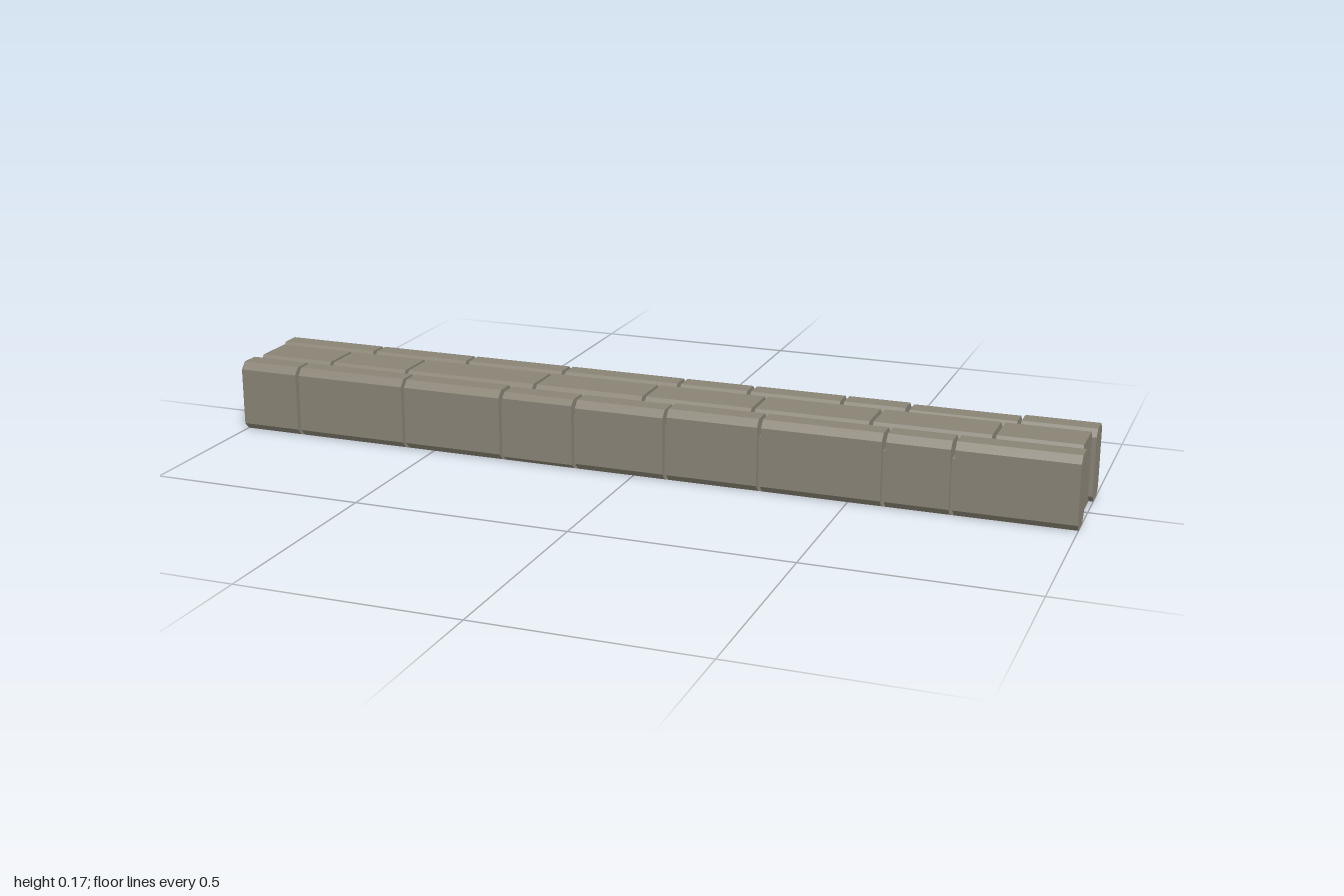
import * as THREE from 'three';

const stone = new THREE.MeshStandardMaterial({ color: 0x8a8476 });
stone.name = 'stone';

// Chamfered stone: an octagonal z/y section extruded along x
function block(name, x0, x1, z0, z1, y0, y1, cz, cy) {
  const s = new THREE.Shape();
  s.moveTo(-z0 - cz, y0);
  [[-z0, y0 + cy], [-z0, y1 - cy], [-z0 - cz, y1], [-z1 + cz, y1],
    [-z1, y1 - cy], [-z1, y0 + cy], [-z1 + cz, y0]].forEach(([a, b]) => s.lineTo(a, b));
  s.closePath();
  const geo = new THREE.ExtrudeGeometry(s, { depth: x1 - x0, bevelEnabled: false });
  geo.rotateY(Math.PI / 2);
  geo.translate(x0, 0, 0);
  const mesh = new THREE.Mesh(geo, stone);
  mesh.name = name;
  return mesh;
}

// Row of stones between joint positions, with a narrow gap at each joint
function row(name, joints, gap, make) {
  const group = new THREE.Group();
  group.name = name;
  const last = joints.length - 2;
  for (let i = 0; i <= last; i++) {
    const x0 = joints[i] + (i > 0 ? gap / 2 : 0);
    const x1 = joints[i + 1] - (i < last ? gap / 2 : 0);
    group.add(make(x0, x1, i));
  }
  return group;
}

export function createModel() {
  const model = new THREE.Group();
  model.name = 'stoneWall';

  // Solid core behind the joints, slightly recessed at the ends
  const core = new THREE.Mesh(new THREE.BoxGeometry(1.98, 0.127, 0.236), stone);
  core.name = 'core';
  core.position.y = 0.0635;
  model.add(core);

  // Facing stones; a few sit slightly lower with a smaller chamfer
  const front = [-1, -0.85, -0.57, -0.32, -0.14, 0.08, 0.3, 0.58, 0.73, 1];
  const back = [-1, -0.75, -0.5, -0.25, 0.04, 0.21, 0.43, 0.58, 0.83, 1];
  model.add(row('frontStones', front, 0.009, (a, b, i) =>
    block('frontStone', a, b, 0.059, 0.133, 0, i === 3 || i === 4 ? 0.164 : 0.167, 0.015, i === 3 ? 0.012 : 0.016)));
  model.add(row('backStones', back, 0.009, (a, b, i) =>
    block('backStone', a, b, -0.133, -0.059, 0, i === 7 ? 0.164 : 0.167, 0.015, 0.016)));

  // Cap stones along the middle of the top
  const cap = [-0.99, -0.8, -0.6, -0.27, 0, 0.26, 0.53, 0.8, 0.99];
  model.add(row('capStones', cap, 0.009, (a, b) =>
    block('capStone', a, b, -0.062, 0.062, 0.126, 0.167, 0.014, 0.015)));

  return model;
}
